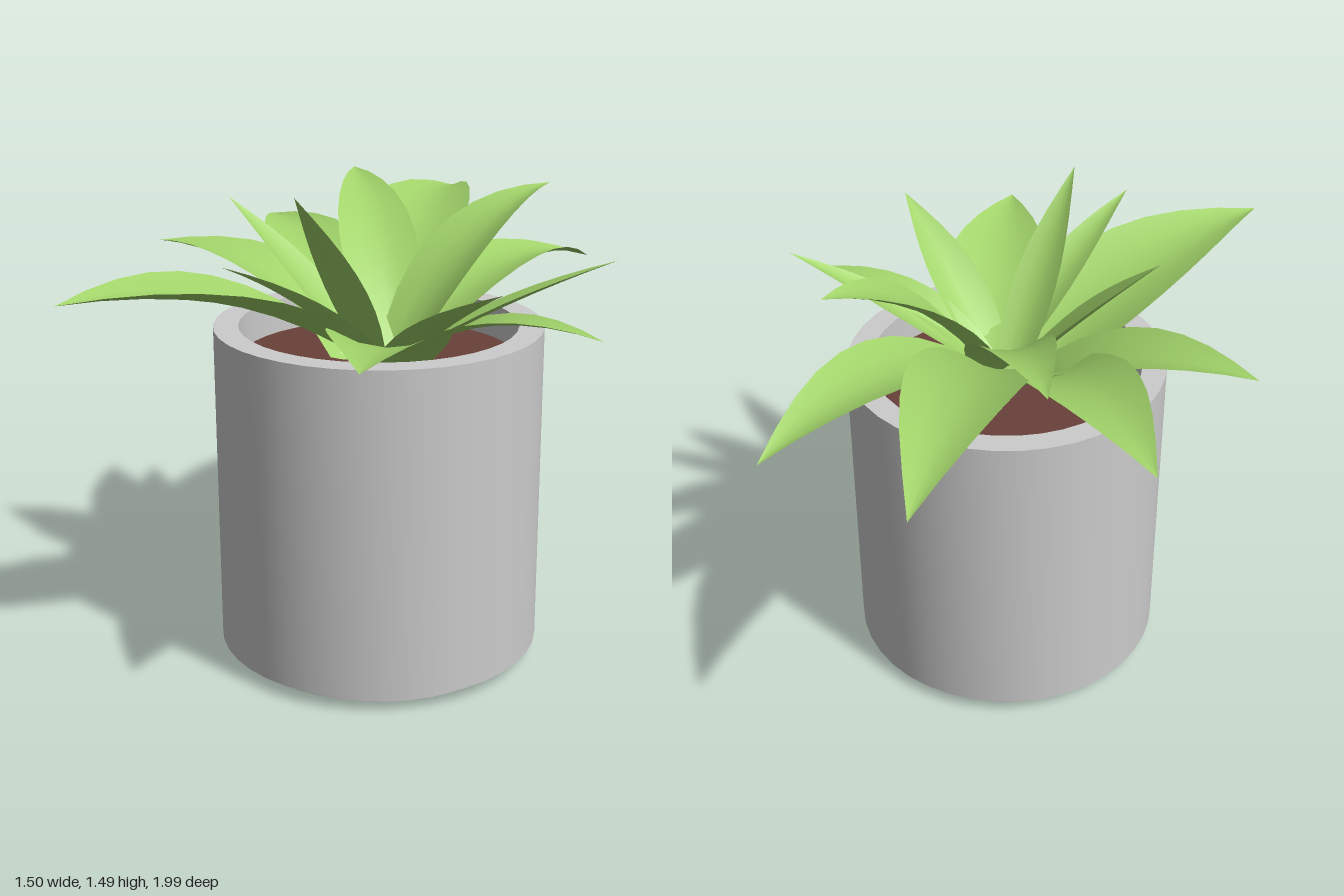
import * as THREE from 'three';
import { toCreasedNormals } from 'three/addons/utils/BufferGeometryUtils.js';

const POT_X = 0.035, POT_Z = 0.12, SOIL_Y = 0.93;

// Leaves: base x, base z, tip x, tip y, tip z, half width, height of the arch control point
const LEAVES = [
  [0.03, 0.17, 0.02, 1.255, -1.0, 0.18, 1.41],
  [0.1, 0.17, 0.55, 1.1, -0.67, 0.15, 1.28],
  [0.1, 0.18, -0.24, 1.38, -0.58, 0.12, 1.36],
  [-0.02, 0.17, -0.54, 1.2, -0.61, 0.16, 1.27],
  [-0.01, 0.16, -0.63, 1.235, 0.9, 0.2, 1.25],
  [0.0, 0.12, -0.75, 1.2, -0.09, 0.14, 1.23],
  [0.02, 0.2, -0.42, 1.4, 0.15, 0.085, 1.17],
  [0.1, 0.18, 0.475, 1.41, -0.28, 0.13, 1.36],
  [0.1, 0.2, 0.745, 1.28, 0.18, 0.065, 1.13],
  [0.1, 0.2, 0.745, 1.105, 0.41, 0.075, 1.18],
  [0.1, 0.24, 0.51, 1.28, 0.66, 0.085, 1.13],
  [0.07, 0.24, -0.22, 1.33, 0.75, 0.075, 1.18],
  [0.13, 0.2, 0.22, 1.145, 0.99, 0.17, 1.15],
  [0.04, 0.2, -0.08, 1.485, 0.56, 0.075, 1.2],
];

// Pointed, cupped blade swept along an arching curve
function leafGeometry([bx, bz, tx, ty, tz, halfWidth, archY]) {
  const base = new THREE.Vector3(bx, SOIL_Y, bz);
  const tip = new THREE.Vector3(tx, ty, tz);
  const control = base.clone().lerp(tip, 0.45).setY(archY);
  const curve = new THREE.QuadraticBezierCurve3(base, control, tip);
  const side = new THREE.Vector3(-(tz - bz), 0, tx - bx).normalize();
  const rows = 9, cols = 4, positions = [], indices = [];
  for (let i = 0; i <= rows; i++) {
    const t = i / rows;
    const up = side.clone().cross(curve.getTangent(t));
    const width = halfWidth * Math.sin(Math.PI * (0.18 + 0.82 * t));
    const centre = curve.getPoint(t);
    for (let j = 0; j <= cols; j++) {
      const s = (2 * j) / cols - 1;
      const p = centre.clone()
        .addScaledVector(side, s * width)
        .addScaledVector(up, 0.28 * s * s * width);
      positions.push(p.x, p.y, p.z);
      if (i < rows && j < cols) {
        const a = i * (cols + 1) + j, b = a + cols + 1;
        indices.push(a, a + 1, b);
        if (i < rows - 1) indices.push(a + 1, b + 1, b);
        else indices.push(a + 1, b + 1, b);
      }
    }
  }
  const geometry = new THREE.BufferGeometry();
  geometry.setAttribute('position', new THREE.Float32BufferAttribute(positions, 3));
  geometry.setIndex(indices);
  geometry.computeVertexNormals();
  return geometry;
}

export function createModel() {
  const group = new THREE.Group();
  const grey = new THREE.MeshStandardMaterial({ color: 0xcccccc });
  const green = new THREE.MeshStandardMaterial({ color: 0xa2d46a, side: THREE.DoubleSide });
  const brown = new THREE.MeshStandardMaterial({ color: 0x69413a });

  // Pot with a recessed foot and a thick rim
  const profile = [
    [0, 0], [0.435, 0], [0.435, 0.04], [0.495, 0.04],
    [0.495, 1.035], [0.42, 1.035], [0.42, SOIL_Y - 0.02],
  ].map(([r, y]) => new THREE.Vector2(r, y));
  const pot = new THREE.Mesh(toCreasedNormals(new THREE.LatheGeometry(profile, 40), 0.6), grey);
  pot.name = 'pot';
  pot.position.set(POT_X, 0, POT_Z);
  group.add(pot);

  // Soil surface inside the rim
  const soil = new THREE.Mesh(new THREE.CircleGeometry(0.42, 40), brown);
  soil.name = 'soil';
  soil.rotation.x = -Math.PI / 2;
  soil.position.set(POT_X, SOIL_Y, POT_Z);
  group.add(soil);

  // Rosette of leaves
  const leaves = new THREE.Group();
  leaves.name = 'leaves';
  LEAVES.forEach((spec, i) => {
    const leaf = new THREE.Mesh(leafGeometry(spec), green);
    leaf.name = `leaf${i + 1}`;
    leaves.add(leaf);
  });
  group.add(leaves);
  return group;
}
